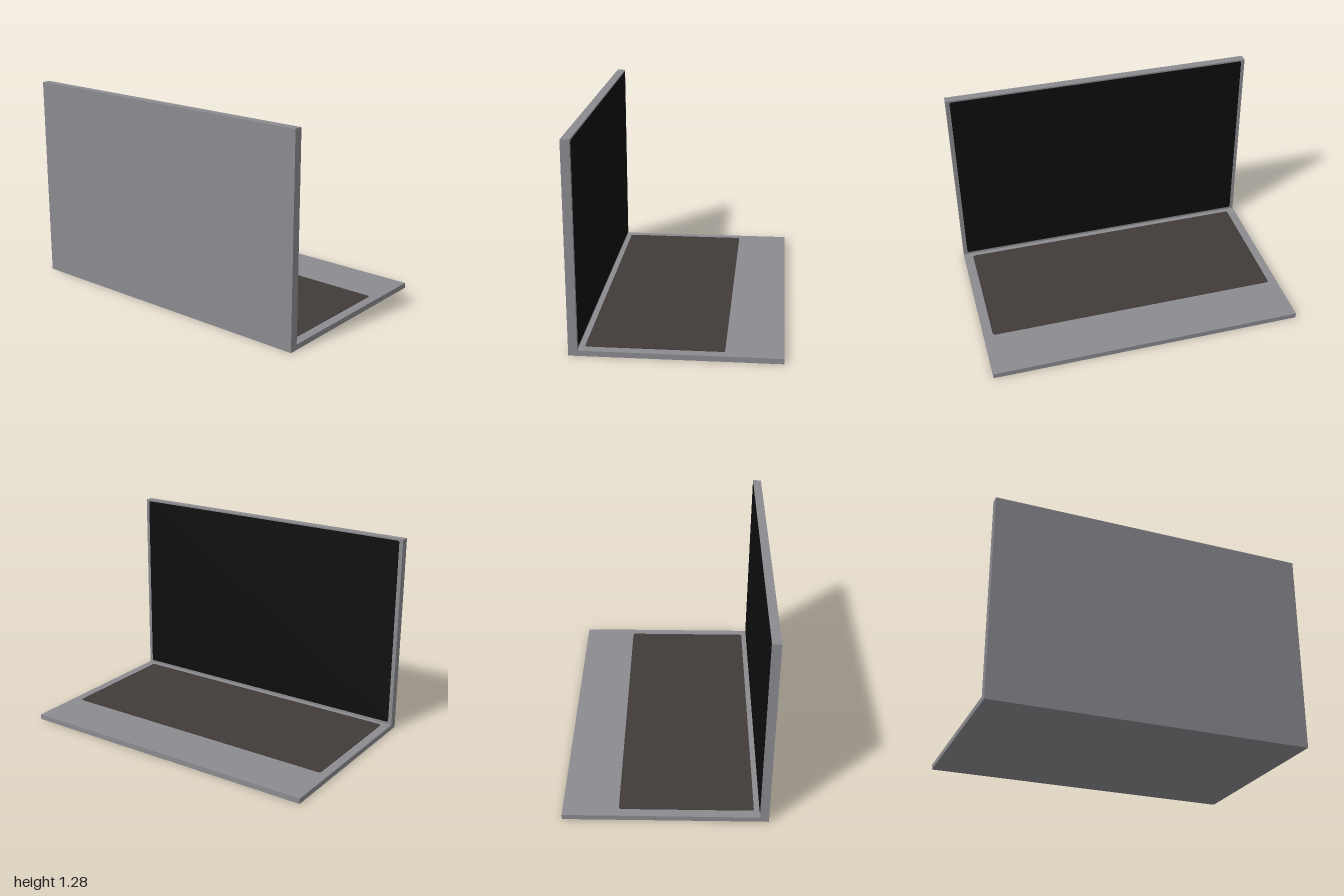
import * as THREE from 'three';

const material = (name, color) => {
  const m = new THREE.MeshStandardMaterial({ color });
  m.name = name;
  return m;
};

// Box given by its x, y and z limits
function box(name, mat, [x0, x1], [y0, y1], [z0, z1]) {
  const mesh = new THREE.Mesh(new THREE.BoxGeometry(x1 - x0, y1 - y0, z1 - z0), mat);
  mesh.position.set((x0 + x1) / 2, (y0 + y1) / 2, (z0 + z1) / 2);
  mesh.name = name;
  return mesh;
}

// Thin plate with rounded corners, centred, facing +z
function plate(name, mat, w, h, r, depth) {
  const x = w / 2, y = h / 2;
  const s = new THREE.Shape();
  s.moveTo(-x + r, -y);
  s.lineTo(x - r, -y).absarc(x - r, -y + r, r, -Math.PI / 2, 0);
  s.lineTo(x, y - r).absarc(x - r, y - r, r, 0, Math.PI / 2);
  s.lineTo(-x + r, y).absarc(-x + r, y - r, r, Math.PI / 2, Math.PI);
  s.lineTo(-x, -y + r).absarc(-x + r, -y + r, r, Math.PI, Math.PI * 1.5);
  const geo = new THREE.ExtrudeGeometry(s, { depth, bevelEnabled: false, curveSegments: 4 });
  const mesh = new THREE.Mesh(geo, mat);
  mesh.name = name;
  return mesh;
}

export function createModel() {
  const casing = material('casing grey', 0x8b8b90);
  const keys = material('keyboard brown', 0x413b39);
  const glass = material('screen black', 0x0d0d0d);
  const group = new THREE.Group();
  group.name = 'laptop';

  // Base slab and upright lid
  group.add(box('base', casing, [-0.565, 0.618], [0, 0.033], [-1, 1]));
  group.add(box('lid', casing, [-0.618, -0.565], [0, 1.28], [-1, 1]));

  // Keyboard panel on the base
  const keyboard = plate('keyboard', keys, 0.81, 1.885, 0.015, 0.003);
  keyboard.rotation.x = -Math.PI / 2;
  keyboard.position.set(-0.125, 0.033, 0);
  group.add(keyboard);

  // Display on the inner side of the lid
  const screen = plate('screen', glass, 1.95, 1.22, 0.012, 0.003);
  screen.rotation.y = Math.PI / 2;
  screen.position.set(-0.565, 0.66, 0);
  group.add(screen);

  return group;
}
